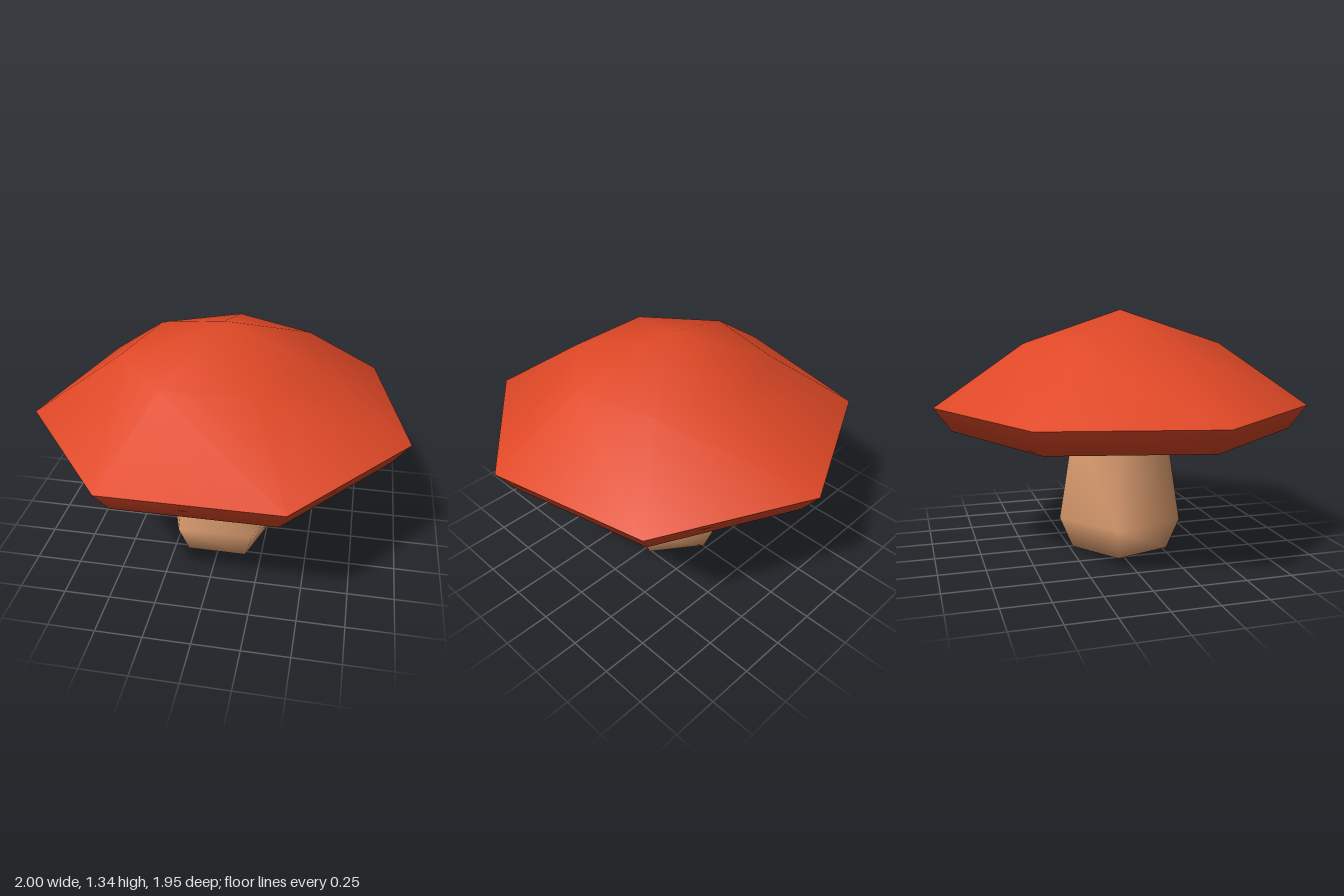
import * as THREE from 'three';
import { mergeVertices } from 'three/addons/utils/BufferGeometryUtils.js';

// Low-sided solid of revolution with one corner facing -z and shared, smooth normals.
// The profile lists [radius, height] from bottom to top.
function turned(profile, sides) {
  const points = profile.map(([r, y]) => new THREE.Vector2(r, y));
  const lathe = new THREE.LatheGeometry(points, sides, Math.PI);
  lathe.deleteAttribute('uv');
  lathe.deleteAttribute('normal');
  const geometry = mergeVertices(lathe, 1e-4);
  geometry.computeVertexNormals();
  return geometry;
}

export function createModel() {
  const red = new THREE.MeshStandardMaterial({ color: 0xdf4826 });
  red.name = 'cap red';
  const tan = new THREE.MeshStandardMaterial({ color: 0xe0a072 });
  tan.name = 'stem tan';

  const model = new THREE.Group();
  model.name = 'mushroom';

  function add(name, profile, sides, material, x = 0) {
    const mesh = new THREE.Mesh(turned(profile, sides), material);
    mesh.name = name;
    mesh.position.set(x, 0, 0.05);
    model.add(mesh);
  }

  // Five-sided stem, bulging near the foot
  add('stem', [[0, 0], [0.28, 0], [0.353, 0.175], [0.268, 0.705]], 5, tan, -0.005);

  // Seven-sided cap: top and underside are separate so the rim stays sharp
  add('capTop', [[1.025, 0.83], [0.54, 1.16], [0, 1.335]], 7, red);
  add('capUnderside', [[0, 0.7], [0.93, 0.7], [1.025, 0.83]], 7, red);

  return model;
}
